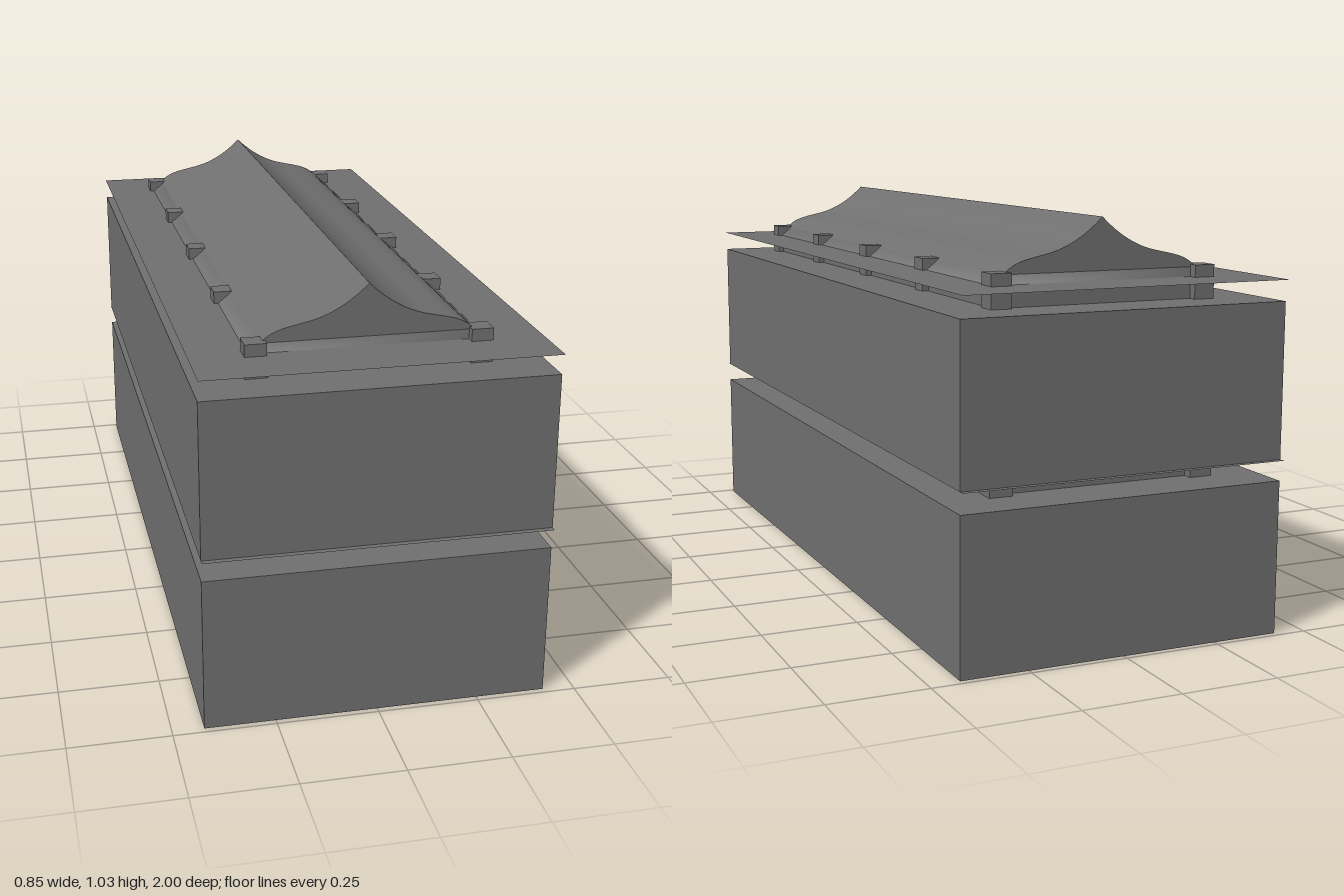
import * as THREE from 'three';
import { mergeVertices, toCreasedNormals } from 'three/addons/utils/BufferGeometryUtils.js';

export function createModel() {
  const root = new THREE.Group();
  const mat = new THREE.MeshStandardMaterial({ color: 0x707070 });
  const thin = new THREE.MeshStandardMaterial({ color: 0x707070, side: THREE.DoubleSide });

  const add = (name, geometry, parent = root, material = mat) => {
    const mesh = new THREE.Mesh(geometry, material);
    mesh.name = name;
    parent.add(mesh);
    return mesh;
  };

  // block from height y0 to y1, centred on x and z unless moved
  const block = (name, w, y0, y1, d, parent = root, x = 0, z = 0) => {
    const mesh = add(name, new THREE.BoxGeometry(w, y1 - y0, d), parent);
    mesh.position.set(x, (y0 + y1) / 2, z);
  };

  // paper-thin slab reaching a little past the ends of the blocks
  const sheet = (name, y) => {
    const mesh = add(name, new THREE.PlaneGeometry(0.846, 2), root, thin);
    mesh.rotation.x = -Math.PI / 2;
    mesh.position.y = y;
  };

  // five pairs of small posts along the two long sides
  const posts = (name, size, outerX, y0, y1) => {
    const group = new THREE.Group();
    group.name = name;
    for (const side of [-1, 1]) {
      for (let i = -2; i <= 2; i++) {
        block('post', size, y0, y1, size, group, side * (outerX - size / 2), i * 0.42);
      }
    }
    root.add(group);
  };

  // two stacked blocks, each with a recessed neck and posts above it
  block('lowerBlock', 0.846, 0, 0.387, 1.97);
  block('lowerNeck', 0.57, 0.387, 0.44, 1.69);
  posts('lowerPosts', 0.06, 0.3, 0.387, 0.44);
  sheet('lowerSlab', 0.44);
  block('upperBlock', 0.846, 0.44, 0.827, 1.97);
  block('upperNeck', 0.56, 0.827, 0.88, 1.69);
  posts('upperPosts', 0.053, 0.296, 0.827, 0.91);
  sheet('upperSlab', 0.88);

  // four-sided skirt, sloping in along the long sides, shaded softly round its corners
  const skirt = new THREE.CylinderGeometry(1, 1, 1, 4, 1, true, Math.PI / 4);
  const p = skirt.attributes.position;
  for (let i = 0; i < p.count; i++) {
    const top = p.getY(i) > 0;
    p.setXYZ(i, Math.sign(p.getX(i)) * (top ? 0.256 : 0.285), top ? 0.904 : 0.88, Math.sign(p.getZ(i)) * 0.845);
  }
  skirt.deleteAttribute('normal');
  skirt.deleteAttribute('uv');
  const softSkirt = mergeVertices(skirt);
  softSkirt.computeVertexNormals();
  add('lidSkirt', softSkirt);

  // ridged lid: an ogee curve up to a sharp ridge
  const shape = new THREE.Shape();
  shape.moveTo(-0.256, 0.904);
  shape.lineTo(0.256, 0.904);
  shape.bezierCurveTo(0.23, 0.932, 0.2, 0.936, 0.155, 0.946);
  shape.bezierCurveTo(0.1, 0.956, 0.05, 0.982, 0, 1.031);
  shape.bezierCurveTo(-0.05, 0.982, -0.1, 0.956, -0.155, 0.946);
  shape.bezierCurveTo(-0.2, 0.936, -0.23, 0.932, -0.256, 0.904);
  const lid = new THREE.ExtrudeGeometry(shape, { depth: 1.69, bevelEnabled: false, curveSegments: 12 });
  lid.translate(0, 0, -0.845);
  add('lid', toCreasedNormals(lid, 0.45));

  return root;
}
